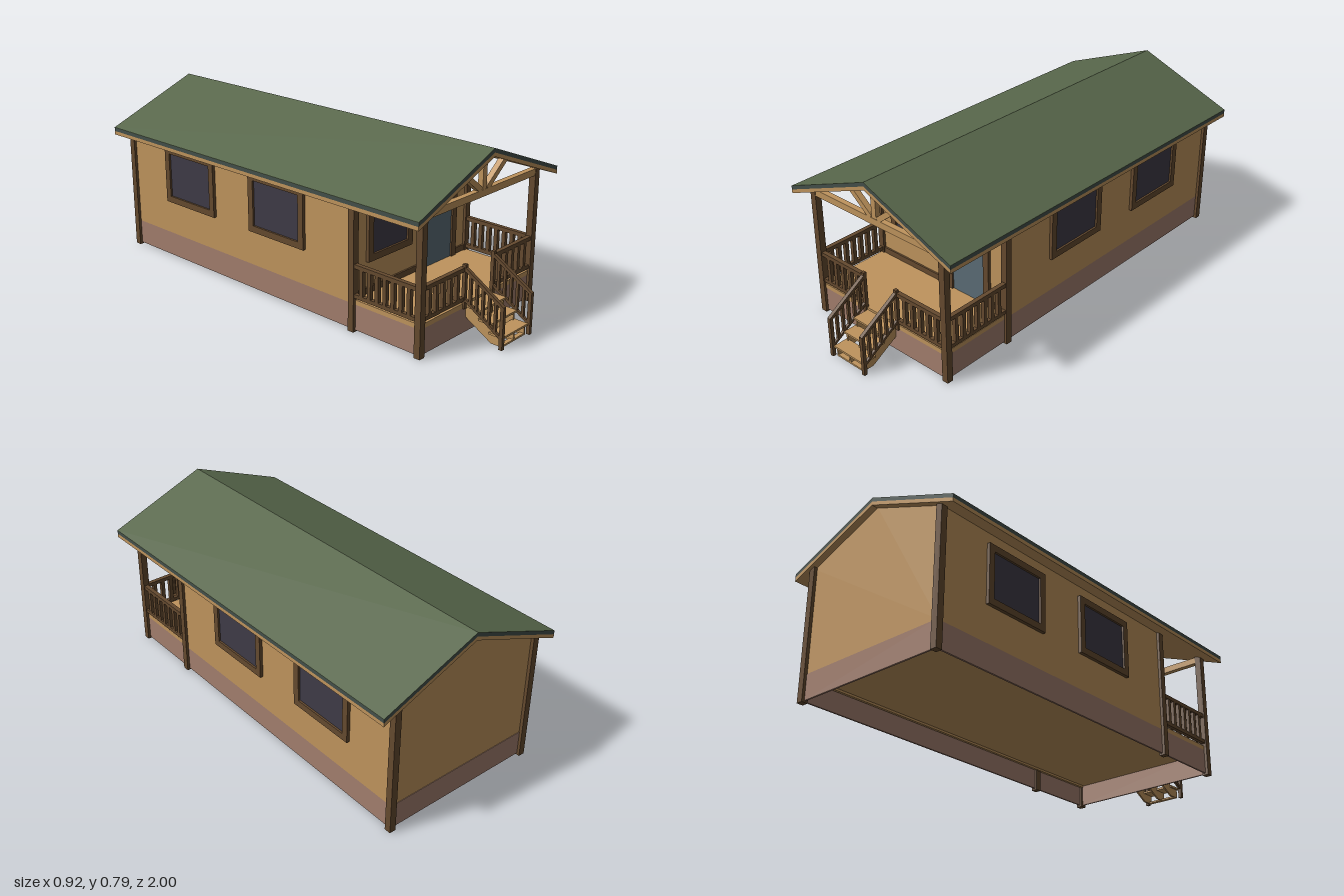
import * as THREE from 'three';

const mat = (name, color) => {
  const m = new THREE.MeshStandardMaterial({ color });
  m.name = name;
  return m;
};

export function createModel() {
  const tan = mat('tan wood', 0xbf945d);
  const brown = mat('dark brown trim', 0x654a2f);
  const skirtMat = mat('clay skirting', 0xa27e6d);
  const green = mat('green roofing', 0x58674b);
  const fascia = mat('dark green roof edge', 0x434f4a);
  const glass = mat('dark glass', 0x3e3b47);
  const doorMat = mat('blue grey door', 0x5a6c75);

  const root = new THREE.Group();
  root.name = 'cabin';

  const add = (parent, name, geo, m) => {
    const mesh = new THREE.Mesh(geo, m);
    mesh.name = name;
    parent.add(mesh);
    return mesh;
  };
  // Box given by its lower and upper limits
  const box = (parent, name, m, x0, x1, y0, y1, z0, z1) => {
    const mesh = add(parent, name, new THREE.BoxGeometry(x1 - x0, y1 - y0, z1 - z0), m);
    mesh.position.set((x0 + x1) / 2, (y0 + y1) / 2, (z0 + z1) / 2);
    return mesh;
  };
  // Bar between two points, w wide and h deep
  const bar = (parent, name, m, a, b, w, h) => {
    const p = new THREE.Vector3(...a), q = new THREE.Vector3(...b);
    const mesh = add(parent, name, new THREE.BoxGeometry(w, h, p.distanceTo(q)), m);
    mesh.position.copy(p).add(q).multiplyScalar(0.5);
    mesh.lookAt(q);
    return mesh;
  };
  const shapeOf = pts => new THREE.Shape(pts.map(p => new THREE.Vector2(...p)));
  const extrude = (shape, depth) =>
    new THREE.ExtrudeGeometry(shape, { depth, bevelEnabled: false, curveSegments: 20 });
  const group = (name, parent = root) => {
    const g = new THREE.Group();
    g.name = name;
    parent.add(g);
    return g;
  };

  // Roof: stacked chevron layers
  const slope = 0.391, eave = 0.462;
  const layer = (name, m, top, thick, z0, z1) => {
    const e = top - slope * eave;
    const s = shapeOf([[-eave, e - thick], [0, top - thick], [eave, e - thick],
      [eave, e], [0, top], [-eave, e]]);
    add(root, name, extrude(s, z1 - z0), m).position.z = z0;
  };
  layer('roofCovering', green, 0.785, 0.002, -1, 0.85);
  layer('roofEdge', fascia, 0.783, 0.016, -1, 0.85);
  layer('roofDecking', tan, 0.767, 0.017, -1, 0.85);

  // House body with gables
  const W = 0.375, wallTop = 0.755;
  const body = shapeOf([[-W, 0.122], [W, 0.122], [W, wallTop - slope * W], [0, wallTop], [-W, wallTop - slope * W]]);
  add(root, 'walls', extrude(body, 1.42), tan).position.z = -0.97;

  // Skirting panels, open underneath, with the floor raised inside
  const zBack = -0.972, zFront = 0.8, t = 0.008;
  for (const s of [-1, 1]) {
    const x = s * (W - t / 2), ex = s * 0.356;
    box(root, 'sideSkirting', skirtMat, x - t / 2, x + t / 2, 0.008, 0.122, zBack, zFront);
    box(root, 'floorRim', tan, ex - 0.006, ex + 0.006, 0.098, 0.122, zBack + 0.015, zFront - 0.015);
  }
  box(root, 'backSkirting', skirtMat, t - W, W - t, 0.008, 0.122, zBack, zBack + t);
  box(root, 'frontSkirting', skirtMat, t - W, W - t, 0.008, 0.122, zFront - t, zFront);
  box(root, 'underFloor', tan, t - W, W - t, 0.108, 0.122, zBack + t, zFront - t);
  box(root, 'porchDeck', tan, -W, W, 0.122, 0.143, 0.45, 0.802);

  // Corner posts
  for (const s of [-1, 1]) for (const z of [-0.97, 0.448, 0.797]) {
    const x = s * 0.373;
    box(root, 'cornerPost', brown, x - 0.015, x + 0.015, 0, 0.608, z - 0.015, z + 0.015);
  }

  // Window facing +z, centred on its origin
  const frameShape = (w, h, f) => {
    const s = shapeOf([[-w, -h], [w, -h], [w, h], [-w, h]]);
    s.holes.push(new THREE.Path([[f - w, f - h], [f - w, h - f], [w - f, h - f], [w - f, f - h]]
      .map(p => new THREE.Vector2(...p))));
    return s;
  };
  const makeWindow = (w, h, x, y, z, ry) => {
    const g = group('window');
    add(g, 'windowFrame', extrude(frameShape(w, h, 0.03), 0.015), brown);
    box(g, 'windowPane', glass, 0.03 - w, w - 0.03, 0.03 - h, h - 0.03, 0, 0.006);
    g.position.set(x, y, z);
    g.rotation.y = ry;
  };
  makeWindow(0.14, 0.135, -0.157, 0.418, 0.45, 0);
  for (const s of [-1, 1]) for (const z of [0.012, -0.553])
    makeWindow(0.167, 0.134, s * W, 0.418, z, s * Math.PI / 2);

  // Front door with arched light
  const door = group('frontDoor');
  door.position.set(0.168, 0, 0.45);
  box(door, 'doorPanel', doorMat, -0.09, 0.09, 0.143, 0.498, 0, 0.007);
  for (const s of [-1, 1]) box(door, 'doorJamb', brown, s * 0.105 - 0.015, s * 0.105 + 0.015, 0.143, 0.528, 0, 0.015);
  box(door, 'doorHead', brown, -0.09, 0.09, 0.498, 0.528, 0, 0.015);
  const light = new THREE.Shape();
  light.moveTo(-0.045, 0.402);
  light.lineTo(0.045, 0.402);
  light.quadraticCurveTo(0.064, 0.42, 0.049, 0.44);
  light.quadraticCurveTo(0.042, 0.457, 0.022, 0.461);
  light.quadraticCurveTo(0, 0.472, -0.022, 0.461);
  light.quadraticCurveTo(-0.042, 0.457, -0.049, 0.44);
  light.quadraticCurveTo(-0.064, 0.42, -0.045, 0.402);
  add(door, 'doorLight', extrude(light, 0.003), glass).position.z = 0.007;

  // Baseboard on the front wall
  box(root, 'baseboard', brown, -0.36, 0.048, 0.143, 0.17, 0.45, 0.458);
  box(root, 'baseboard', brown, 0.288, 0.36, 0.143, 0.17, 0.45, 0.458);

  // Open truss above the porch
  const truss = group('porchTruss');
  const tz = 0.797;
  box(truss, 'bottomChord', tan, -0.362, 0.362, 0.577, 0.607, tz - 0.013, tz + 0.013);
  box(truss, 'kingPost', tan, -0.013, 0.013, 0.607, 0.752, tz - 0.012, tz + 0.012);
  for (const s of [-1, 1])
    bar(truss, 'strut', tan, [s * 0.02, 0.607, tz], [s * 0.142, 0.704, tz], 0.024, 0.026).rotateZ(Math.PI / 2);

  // Porch railings
  const railing = (a, b, n) => {
    const g = group('porchRailing');
    const at = (k, y) => [a[0] + (b[0] - a[0]) * k, y, a[1] + (b[1] - a[1]) * k];
    bar(g, 'topRail', brown, at(0, 0.293), at(1, 0.293), 0.02, 0.018);
    bar(g, 'bottomRail', brown, at(0, 0.162), at(1, 0.162), 0.018, 0.017);
    for (let i = 1; i <= n; i++) {
      const [x, , z] = at(i / (n + 1), 0);
      box(g, 'baluster', brown, x - 0.009, x + 0.009, 0.165, 0.29, z - 0.009, z + 0.009);
    }
  };
  for (const s of [-1, 1]) {
    railing([s * 0.366, 0.797], [s * 0.098, 0.797], 5);
    railing([s * 0.374, 0.458], [s * 0.374, 0.787], 7);
  }

  // Stairs: sawtooth stringers and open treads
  const stairs = group('stairs');
  const saw = shapeOf([[0.8, 0.075], [0.93, 0], [0.985, 0], [0.985, 0.042], [0.93, 0.042],
    [0.93, 0.083], [0.875, 0.083], [0.875, 0.124], [0.8, 0.124]]);
  for (const x of [-0.076, 0, 0.076]) {
    const m = add(stairs, 'stringer', extrude(saw, 0.008), tan);
    m.rotation.y = -Math.PI / 2;
    m.position.x = x + 0.004;
  }
  [[0.8, 0.88, 0.132], [0.868, 0.935, 0.091], [0.922, 0.992, 0.05]].forEach(([z0, z1, y]) =>
    box(stairs, 'tread', tan, -0.088, 0.088, y - 0.009, y, z0, z1));
  box(stairs, 'footBoard', tan, -0.08, 0.08, 0, 0.008, 0.965, 0.985);

  // Stair handrails
  for (const s of [-1, 1]) {
    const g = group('stairRailing'), x = s * 0.097;
    box(g, 'upperPost', brown, x - 0.008, x + 0.008, 0.12, 0.314, 0.794, 0.81);
    box(g, 'lowerPost', brown, x - 0.008, x + 0.008, 0, 0.185, 0.984, 1);
    bar(g, 'handrail', brown, [x, 0.298, 0.802], [x, 0.18, 0.995], 0.016, 0.014);
    bar(g, 'lowerRail', brown, [x, 0.165, 0.802], [x, 0.047, 0.99], 0.012, 0.012);
    for (let i = 1; i <= 5; i++) {
      const k = i / 6, z = 0.802 + 0.188 * k, y = 0.165 - 0.118 * k;
      box(g, 'stairBaluster', brown, x - 0.006, x + 0.006, y, y + 0.132, z - 0.006, z + 0.006);
    }
  }

  return root;
}
